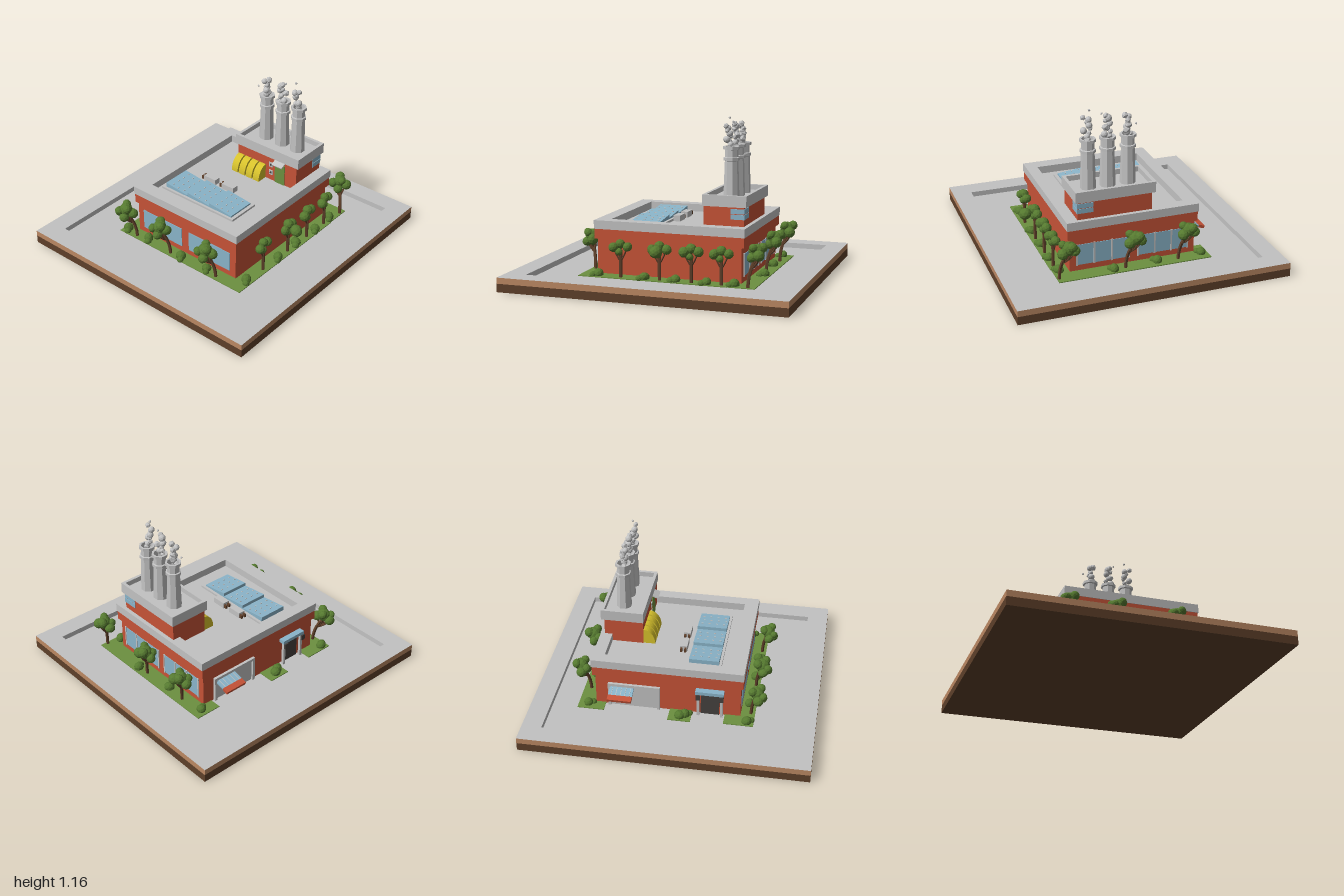
import * as THREE from 'three';

const mat = (name, color) => {
  const m = new THREE.MeshStandardMaterial({ color });
  m.name = name;
  return m;
};

export function createModel() {
  const M = {
    brick: mat('brick red', 0xc65337), concrete: mat('concrete grey', 0xc2c2c2),
    soil: mat('soil brown', 0x5e402a), kerb: mat('kerb tan', 0xbb8863),
    grass: mat('grass green', 0x6c9040), leaf: mat('leaf green', 0x567a30),
    glass: mat('glass blue', 0x8ab4c9), yellow: mat('hood yellow', 0xd6c12c),
    bark: mat('bark brown', 0x60402a), dark: mat('dark grey', 0x45413e),
  };
  const model = new THREE.Group();
  let seed = 7;
  const rnd = () => (seed = (seed * 16807) % 2147483647) / 2147483647;

  const add = (name, geo, m, parent = model) => {
    const mesh = new THREE.Mesh(geo, m);
    mesh.name = name;
    parent.add(mesh);
    return mesh;
  };
  const group = (name, parent = model) => {
    const g = new THREE.Group();
    g.name = name;
    parent.add(g);
    return g;
  };
  // Box given by its limits on each axis
  const box = (name, m, x0, x1, y0, y1, z0, z1, parent) => {
    const mesh = add(name, new THREE.BoxGeometry(x1 - x0, y1 - y0, z1 - z0), m, parent);
    mesh.position.set((x0 + x1) / 2, (y0 + y1) / 2, (z0 + z1) / 2);
    return mesh;
  };
  // Rectangular frame; o and i are [x0, x1, z0, z1]
  const ring = (name, m, o, i, y0, y1, parent) => {
    const rect = (p, [a, b, c, d]) => p.moveTo(a, -d).lineTo(b, -d).lineTo(b, -c).lineTo(a, -c).closePath();
    const s = rect(new THREE.Shape(), o);
    s.holes.push(rect(new THREE.Path(), i));
    const geo = new THREE.ExtrudeGeometry(s, { depth: y1 - y0, bevelEnabled: false });
    add(name, geo.rotateX(-Math.PI / 2).translate(0, y0, 0), m, parent);
  };
  const flat = (geo) => {
    const g = geo.index ? geo.toNonIndexed() : geo;
    g.computeVertexNormals();
    return g;
  };
  const blob = (name, m, x, y, z, r, parent, detail = 1) => {
    const b = add(name, flat(new THREE.IcosahedronGeometry(r, detail)), m, parent);
    b.position.set(x, y, z);
    b.rotation.set(rnd() * 6, rnd() * 6, rnd() * 6);
    b.scale.set(0.9 + rnd() * 0.2, 0.85 + rnd() * 0.2, 0.9 + rnd() * 0.2);
  };

  // Ground slab with a raised kerb around a sunken yard
  const base = group('base');
  box('soilSlab', M.soil, -0.96, 0.955, 0, 0.058, -1, 1, base);
  box('yard', M.concrete, -0.95, 0.945, 0.05, 0.062, -0.99, 0.99, base);
  ring('kerbEdge', [M.concrete, M.kerb], [-0.96, 0.955, -1, 1], [-0.955, 0.95, -0.995, 0.995], 0.058, 0.1, base);
  ring('kerb', M.concrete, [-0.955, 0.95, -0.995, 0.995], [-0.82, 0.815, -0.86, 0.85], 0.058, 0.1, base);
  const lawn = (...r) => box('lawn', M.grass, r[0], r[1], 0.06, 0.068, r[2], r[3], base);
  lawn(-0.52, 0.58, -0.68, -0.49);
  lawn(0.45, 0.585, -0.49, 0.36);
  lawn(-0.535, 0.585, 0.36, 0.57);
  lawn(-0.555, -0.42, -0.03, 0.13);

  // Main hall
  const hall = group('mainHall');
  box('walls', M.brick, -0.435, 0.47, 0.06, 0.32, -0.56, 0.47, hall);
  box('upperWall', M.brick, -0.45, 0.487, 0.31, 0.38, -0.58, 0.487, hall);
  box('roof', M.concrete, -0.44, 0.48, 0.375, 0.385, -0.57, 0.48, hall);
  ring('parapet', M.concrete, [-0.455, 0.492, -0.585, 0.49], [-0.37, 0.41, -0.5, 0.39], 0.38, 0.44, hall);
  for (const [x0, x1] of [[-0.385, -0.02], [0.045, 0.42]]) {
    box('frontWindow', M.glass, x0, x1, 0.11, 0.26, 0.467, 0.474, hall);
    box('backWindow', M.glass, x0, x1, 0.11, 0.26, -0.564, -0.557, hall);
    for (let k = 0; k <= 3; k++) {
      const x = x0 + ((x1 - x0) * k) / 3;
      box('backMullion', M.concrete, x - 0.006, x + 0.006, 0.105, 0.265, -0.567, -0.56, hall);
    }
  }

  // Loading gate with a sloping awning, on the -x wall
  const gate = group('loadingGate');
  box('gateDoor', M.concrete, -0.44, -0.434, 0.06, 0.23, -0.45, -0.12, gate);
  for (const z of [-0.47, -0.12]) box('gatePost', M.concrete, -0.455, -0.43, 0.06, 0.25, z, z + 0.02, gate);
  box('gateLintel', M.concrete, -0.455, -0.43, 0.23, 0.25, -0.47, -0.1, gate);
  const awning = group('awning', gate);
  awning.position.set(-0.45, 0.215, 0);
  awning.rotation.z = 0.25;
  box('awningGlass', M.glass, -0.07, 0.01, -0.006, 0.006, -0.455, -0.285, awning);
  box('awningEdge', M.brick, -0.115, -0.07, -0.012, 0.008, -0.455, -0.285, awning);
  for (let k = 0; k < 5; k++) {
    const z = -0.435 + k * 0.032;
    box('awningRib', M.concrete, -0.068, 0, 0.004, 0.008, z, z + 0.004, awning);
  }

  // Side entrance
  const entry = group('sideEntrance');
  box('entryDoor', M.dark, -0.442, -0.434, 0.06, 0.23, 0.19, 0.32, entry);
  box('entryCanopy', M.glass, -0.48, -0.43, 0.25, 0.275, 0.155, 0.355, entry);
  for (const z of [0.165, 0.33]) {
    box('entryPost', M.concrete, -0.47, -0.45, 0.06, 0.25, z, z + 0.018, entry);
    box('entryLamp', M.dark, -0.49, -0.475, 0.21, 0.25, z - 0.005, z + 0.025, entry);
  }

  // Rooftop block
  const block = group('boilerHouse');
  box('walls', M.brick, -0.12, 0.41, 0.38, 0.58, -0.556, -0.275, block);
  box('roof', M.concrete, -0.13, 0.415, 0.57, 0.61, -0.565, -0.28, block);
  ring('parapet', M.concrete, [-0.14, 0.427, -0.576, -0.27], [-0.118, 0.405, -0.554, -0.292], 0.57, 0.647, block);
  for (const y of [0.486, 0.524]) {
    box('sideWindow', M.glass, 0.407, 0.414, y, y + 0.033, -0.56, -0.465, block);
    box('backWindow', M.glass, 0.3, 0.414, y, y + 0.033, -0.56, -0.553, block);
  }
  box('roofDoor', M.grass, 0.222, 0.308, 0.385, 0.545, -0.276, -0.269, block);
  const porch = box('doorAwning', M.concrete, 0.22, 0.31, 0.553, 0.561, -0.275, -0.228, block);
  porch.rotation.x = 0.4;
  for (const y of [0.43, 0.495]) {
    box('smallFrame', M.concrete, 0.168, 0.202, y, y + 0.038, -0.276, -0.27, block);
    box('smallPane', M.dark, 0.178, 0.192, y + 0.011, y + 0.027, -0.272, -0.268, block);
  }

  // Four quarter-round hoods
  const hoodShape = new THREE.Shape().moveTo(0, 0).lineTo(0.085, 0);
  hoodShape.absellipse(0, 0, 0.085, 0.112, 0, Math.PI / 2, false).closePath();
  for (let k = 0; k < 4; k++) {
    const geo = new THREE.ExtrudeGeometry(hoodShape, { depth: 0.054, bevelEnabled: false, curveSegments: 6 });
    const hood = add('yellowHood', geo.rotateY(-Math.PI / 2), M.yellow, block);
    hood.position.set(-0.061 + k * 0.0655, 0.385, -0.276);
  }

  // Chimneys with smoke
  const profile = [[0.055, 0.6], [0.046, 0.865], [0.055, 0.868], [0.055, 0.888], [0.045, 0.891], [0.045, 0.94],
    [0.057, 0.943], [0.057, 0.963], [0.042, 0.963], [0.038, 0.9], [0, 0.9]].map(p => new THREE.Vector2(...p));
  [[0.012, 1.11], [0.156, 1.12], [0.295, 1.12]].forEach(([x, top], n) => {
    const stack = group('chimney');
    stack.position.set(x, 0, -0.435);
    const tube = add('stack', flat(new THREE.LatheGeometry(profile, 8)), M.concrete, stack);
    tube.rotation.y = Math.PI / 8;
    add('soot', new THREE.CircleGeometry(0.038, 8).rotateX(-Math.PI / 2).translate(0, 0.915, 0), M.dark, stack);
    const drift = n === 2 ? 0.045 : 0.012;
    for (let k = 0; k < 9; k++) {
      const t = k / 8;
      blob('smokePuff', M.concrete, (rnd() - 0.5) * 0.045, 0.955 + t * (top - 0.975),
        (rnd() - 0.5) * 0.03 + drift * t, 0.017 + rnd() * 0.01, stack, k % 2);
    }
    blob('strayPuff', M.concrete, [-0.065, 0.035, -0.018][n], [1.018, 1.118, 1.152][n], 0.02, 0.009, stack, 0);
  });

  // Stepped skylight
  const sky = group('skylight');
  ring('skylightFrame', M.concrete, [-0.345, 0.31, 0.065, 0.315], [-0.32, 0.285, 0.085, 0.297], 0.38, 0.4, sky);
  for (let k = 0; k < 3; k++) {
    const x = -0.32 + k * 0.2017;
    const wedge = new THREE.Shape().moveTo(0, 0).lineTo(0.2, 0).lineTo(0.2, 0.025).lineTo(0, 0.048).closePath();
    const pane = add('skylightPanel', new THREE.ExtrudeGeometry(wedge, { depth: 0.212, bevelEnabled: false }), M.glass, sky);
    pane.position.set(x, 0.385, 0.085);
    for (const [i, px] of [0.05, 0.1, 0.15].entries()) {
      const y = 0.385 + 0.048 - px * 0.115;
      for (let j = 0; j < 4; j++) {
        const z = 0.105 + j * 0.053 + (i % 2) * 0.008;
        box('skylightClip', M.concrete, x + px - 0.003, x + px + 0.003, y, y + 0.004, z, z + 0.014, sky);
      }
    }
  }

  // Air units on the roof
  for (const x of [-0.175, -0.01]) {
    const unit = group('airUnit');
    box('unitCase', M.concrete, x, x + 0.105, 0.39, 0.432, 0, 0.05, unit);
    for (const z of [0.003, 0.032]) box('unitPipe', M.bark, x - 0.024, x, 0.395, 0.42, z, z + 0.014, unit);
  }

  // Trees: curved trunk, two branches and a lobed crown; (x, z) is the crown centre
  const V = (...p) => new THREE.Vector3(...p);
  const limb = (a, b, c, r, parent, name) =>
    add(name, flat(new THREE.TubeGeometry(new THREE.QuadraticBezierCurve3(a, b, c), 5, r, 5)), M.bark, parent);
  const tree = (x, z, bx, bz, lobes, h = 0) => {
    const t = group('tree');
    t.position.set(x, h, z);
    limb(V(bx, 0.06 - h, bz), V(bx * 0.95, 0.18, bz), V(0, 0.26, 0), 0.012, t, 'trunk');
    for (const [lx, ly, lz, r] of lobes) {
      limb(V(bx * 0.6, 0.18, bz * 0.6), V(lx * 0.5, 0.21, lz * 0.5), V(lx, ly, lz), 0.006, t, 'branch');
      blob('crown', M.leaf, lx, ly, lz, r, t);
    }
  };
  const big = [[0, 0.295, 0, 0.05], [-0.05, 0.265, 0.01, 0.036], [0.045, 0.272, -0.02, 0.038], [0.012, 0.25, 0.035, 0.034],
    [-0.02, 0.315, -0.03, 0.034], [0.03, 0.318, 0.02, 0.032], [-0.03, 0.29, 0.04, 0.03]];
  for (const x of [-0.45, -0.125, 0.295]) tree(x, 0.585, 0.055, -0.045, big);
  for (const x of [-0.34, 0.045, 0.515]) tree(x, -0.68, 0.05, 0.05, big, 0.012);
  const small = [[0, 0.3, 0, 0.036], [0.01, 0.275, 0.048, 0.036], [-0.005, 0.28, -0.048, 0.036], [0.005, 0.245, 0.01, 0.026]];
  for (const z of [0.27, -0.01, -0.235, -0.445]) tree(0.55, z, 0, 0, small);
  blob('crown', M.leaf, 0.62, 0.275, -0.01, 0.042);

  // Low shrubs
  const shrubs = [[-0.47, -0.61], [0.18, -0.64], [-0.14, -0.62], [-0.51, 0.05], [-0.49, 0.085], [-0.5, 0.52], [-0.3, 0.52],
    [0.25, 0.52], [0.02, 0.53], [0.54, 0.44], [0.55, 0.1], [0.54, -0.12], [0.55, -0.34], [0.54, -0.53]];
  for (const [x, z] of shrubs) {
    blob('shrub', M.leaf, x, 0.08, z, 0.036);
    blob('shrub', M.leaf, x + 0.02, 0.073, z + 0.03, 0.025);
  }
  return model;
}
